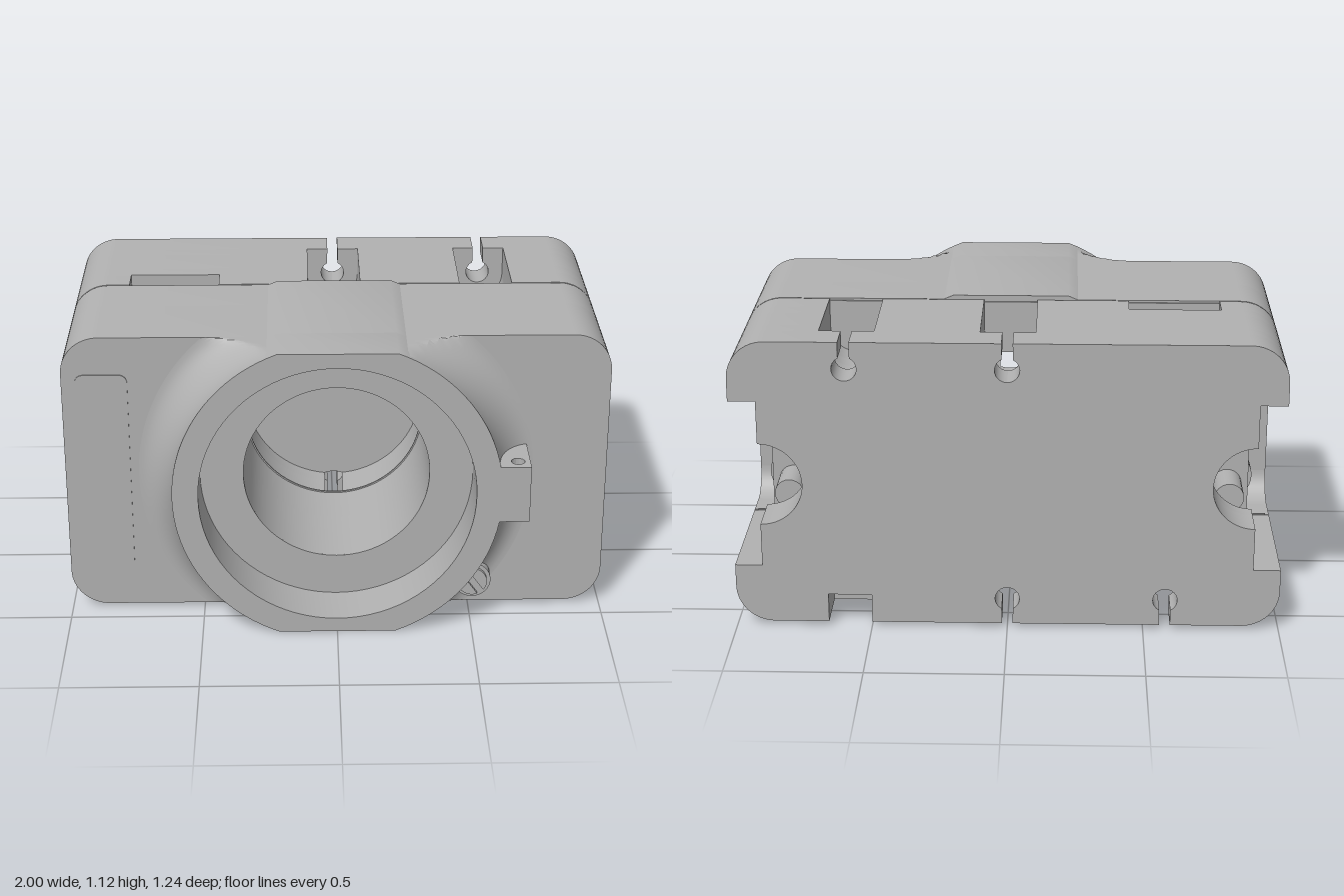
import * as THREE from 'three';
import { toCreasedNormals } from 'three/addons/utils/BufferGeometryUtils.js';

const CY = 0.56, Y0 = 0.015, Y1 = 1.105, BORE = 0.345, CORNER = 0.14;
const CAV0 = 0.24, CAV1 = 0.88, CAVX = 0.56;

// points along an arc
function arc(cx, cy, r, a0, a1, n = 16) {
  return Array.from({ length: n + 1 }, (_, i) => {
    const a = a0 + (a1 - a0) * i / n;
    return [cx + r * Math.cos(a), cy + r * Math.sin(a)];
  });
}

// cut profiles as [offset, depth] running from -x to +x
const H = Math.PI / 2;
const cuts = {
  none: [],
  slot: [[-0.1, 0], ...arc(0, 0.108, 0.1, Math.PI, 0, 20), [0.1, 0]],
  wire: [[-0.02, 0], ...arc(0, 0.1, 0.045, Math.PI * 1.35, -Math.PI * 0.35, 20), [0.02, 0]],
  pocket: [[-0.17, 0], [-0.17, 0.16], [0.17, 0.16], [0.17, 0]],
  notch: [[-0.08, 0], [-0.08, 0.11], [0.08, 0.11], [0.08, 0]],
};

// right half of a body slice, mirrored by side = -1
function halfShape(side, { centre = 'none', top = 'none', bottom = 'none', end = 'flat', bore = false }) {
  const meet = bore && centre === 'slot' ? 0.035 : 0;
  let mid = cuts[centre].filter(([d]) => d > meet + 0.001);
  if (centre === 'slot') mid = [[meet, 0.108 + Math.sqrt(0.01 - meet * meet)], ...mid];
  else if (centre === 'wire') mid = [[0, 0.145], ...mid];
  else mid = [[0, 0]];
  const where = (k) => (k === 'pocket' ? 0.61 : 0.58);
  const pts = [];
  mid.forEach(([d, h]) => pts.push([d, Y0 + h]));
  cuts[bottom].forEach(([d, h]) => pts.push([where(bottom) + d, Y0 + h]));
  pts.push(...arc(1 - CORNER, Y0 + CORNER, CORNER, -H, 0));
  if (end === 'cavity') pts.push([1, CAV0], [CAVX, CAV0], [CAVX, CAV1], [1, CAV1]);
  if (end === 'port') {
    pts.push([1, CAV0], [0.9, CAV0], ...arc(0.9, CY, 0.157, -H, -3 * H, 28), [0.9, CAV1], [1, CAV1]);
  }
  pts.push(...arc(1 - CORNER, Y1 - CORNER, CORNER, 0, H));
  [...cuts[top]].reverse().forEach(([d, h]) => pts.push([where(top) + d, Y1 - h]));
  [...mid].reverse().forEach(([d, h]) => pts.push([d, Y1 - h]));
  if (bore) {
    const a = H - Math.asin(meet / BORE);
    pts.push(...arc(0, CY, BORE, a, -a, 48));
  }
  return new THREE.Shape(pts.map(([x, y]) => new THREE.Vector2(side * x, y)));
}

function extrude(shape, z0, z1) {
  const g = new THREE.ExtrudeGeometry(shape, { depth: z1 - z0, bevelEnabled: false, curveSegments: 40 });
  return toCreasedNormals(g.translate(0, 0, z0), 0.5);
}

export function createModel() {
  const model = new THREE.Group();
  model.name = 'cameraHousing';
  const grey = new THREE.MeshStandardMaterial({ color: 0xb2b2b2 });
  grey.name = 'housing grey';
  grey.side = THREE.DoubleSide;

  const add = (name, geometry, parent = model) => {
    const m = new THREE.Mesh(geometry, grey);
    m.name = name;
    parent.add(m);
    return m;
  };

  // body slices from front to back
  const slices = [
    ['frontBody', 0.11, 0.42, { bore: true }],
    ['frontBodyCavity', -0.1, 0.11, { bore: true, end: 'cavity' }],
    ['backBodyPocket', -0.21, -0.106, { bore: true, end: 'cavity', centre: 'slot', pocket: true, slots: true }],
    ['backBodyBore', -0.28, -0.21, { bore: true, end: 'cavity', centre: 'slot', slots: true }],
    ['backBodySolid', -0.43, -0.28, { end: 'cavity', centre: 'slot', slots: true }],
    ['backBodyPort', -0.49, -0.43, { end: 'port', centre: 'slot', slots: true, notch: true }],
    ['backWall', -0.62, -0.49, { end: 'port', centre: 'wire', wires: true, notch: true }],
  ];
  for (const [name, z0, z1, o] of slices) {
    for (const side of [1, -1]) {
      const main = o.slots ? 'slot' : o.wires ? 'wire' : 'none';
      const top = side > 0 ? main : o.pocket ? 'pocket' : 'none';
      const bottom = side < 0 ? main : o.notch ? 'notch' : 'none';
      add(name, extrude(halfShape(side, { ...o, top, bottom }), z0, z1));
    }
  }

  // recessed seam between the two body halves
  for (const side of [1, -1]) {
    const g = extrude(halfShape(side, { bore: true, end: 'cavity' }), -0.107, -0.099);
    add('seam', g.translate(0, -CY, 0).scale(0.985, 0.985, 1).translate(0, CY, 0));
  }

  // rounded front corners of the side cavities
  for (const x of [CAVX, -1]) {
    for (const [y, s] of [[CAV0, 1], [CAV1, -1]]) {
      const pts = [[0, 0], ...arc(0.1, 0.1, 0.1, -H, -Math.PI, 10)];
      const shape = new THREE.Shape(pts.map(([u, v]) => new THREE.Vector2(u, s * v)));
      const m = add('cavityCorner', extrude(shape, 0, 1 - CAVX));
      m.rotation.y = H;
      m.position.set(x, y, 0.11);
    }
  }

  // lens tube, flattened top and bottom, with a stepped bore
  const tube = (hole) => {
    const a = Math.asin(CY / 0.6);
    const pts = [...arc(0, CY, 0.6, -a, a, 40), ...arc(0, CY, 0.6, Math.PI - a, Math.PI + a, 40)];
    const s = new THREE.Shape(pts.map((p) => new THREE.Vector2(...p)));
    s.holes.push(new THREE.Path().absarc(0, CY, hole, 0, Math.PI * 2, true));
    return s;
  };
  add('lensTube', extrude(tube(BORE), -0.1, 0.425));
  add('lensRim', extrude(tube(0.505), 0.425, 0.62));

  // concave flare joining tube and body, clipped to the body height
  const profile = arc(0, 0, 1, 0, H, 14).map(([c, s]) => new THREE.Vector2(0.73 - 0.13 * s, 0.6 - 0.18 * c));
  const flare = new THREE.LatheGeometry(profile, 128).rotateX(H).translate(0, CY, 0);
  const p = flare.attributes.position;
  for (let i = 0; i < p.count; i++) p.setY(i, THREE.MathUtils.clamp(p.getY(i), Y0, Y1));
  add('tubeFlare', toCreasedNormals(flare, 0.5));

  // hinge lug with a vertical pin hole
  const lug = new THREE.Shape([[0.55, -0.62], [0.7, -0.62], [0.7, -0.42], [0.55, -0.42]]
    .map((q) => new THREE.Vector2(...q)));
  lug.holes.push(new THREE.Path().absarc(0.655, -0.57, 0.025, 0, Math.PI * 2, true));
  add('hingeLug', extrude(lug, 0, 0.22).rotateX(-H).translate(0, 0.453, 0));

  // slotted screw beside the tube
  const screw = new THREE.Group();
  screw.name = 'screw';
  screw.position.set(0.51, 0.13, 0);
  screw.rotation.z = -0.95;
  model.add(screw);
  add('screwSeat', new THREE.CylinderGeometry(0.07, 0.07, 0.05, 32).rotateX(H).translate(0, 0, 0.445), screw);
  for (const s of [0, Math.PI]) {
    const half = new THREE.Shape(arc(0, 0, 0.055, s + 0.25, s + Math.PI - 0.25, 20).map((q) => new THREE.Vector2(...q)));
    add('screwHead', extrude(half, 0.46, 0.485), screw);
  }

  // thin rounded grip panel on the front
  const grip = new THREE.Shape();
  const [gx0, gx1, gy0, gy1, r] = [-0.95, -0.76, 0.165, 0.96, 0.03];
  grip.absarc(gx1 - r, gy0 + r, r, -H, 0);
  grip.absarc(gx1 - r, gy1 - r, r, 0, H);
  grip.absarc(gx0 + r, gy1 - r, r, H, 2 * H);
  grip.absarc(gx0 + r, gy0 + r, r, 2 * H, 3 * H);
  add('gripPanel', extrude(grip, 0.419, 0.424));

  // button plates with caps and pins inside each side cavity
  for (const side of [1, -1]) {
    const unit = new THREE.Group();
    unit.name = 'buttonUnit';
    unit.position.x = side * 0.82;
    model.add(unit);
    add('buttonPlate', new THREE.BoxGeometry(0.16, 0.515, 0.076).translate(0, CY, -0.212), unit);
    for (const y of [0.69, 0.433]) {
      add('buttonCap', new THREE.CylinderGeometry(0.1, 0.1, 0.08, 32).rotateX(H).translate(0, y, -0.134), unit);
      add('buttonPin', new THREE.CylinderGeometry(0.055, 0.055, 0.15, 24).rotateX(H).translate(0, y, -0.323), unit);
    }
  }
  return model;
}
